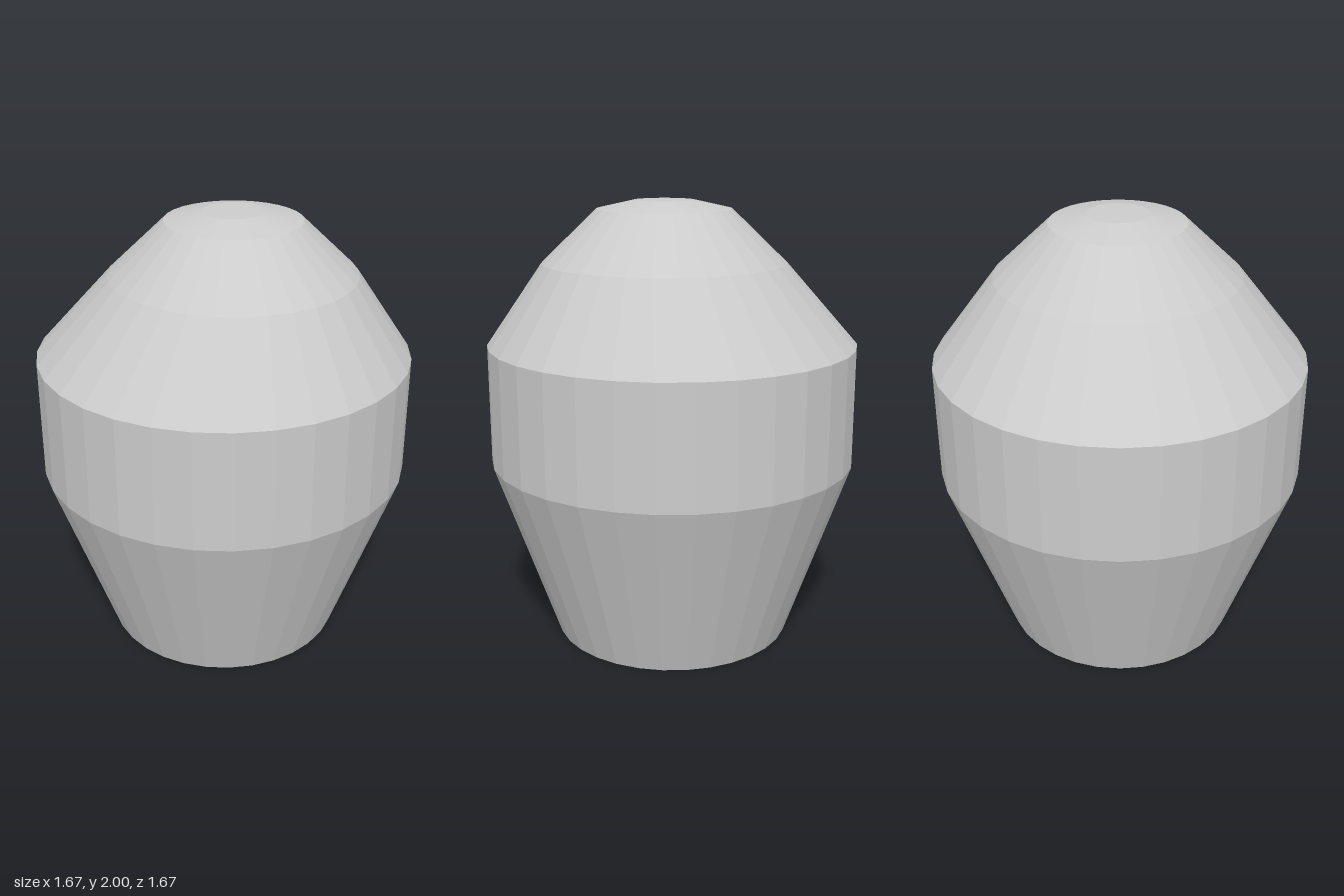
import * as THREE from 'three';

const SIDES = 32;

// Faceted turned part from [radius, height] points, bottom to top
function turned(name, profile) {
  const points = profile.map(([r, y]) => new THREE.Vector2(r, y));
  const material = new THREE.MeshStandardMaterial({ color: 0xcccccc, flatShading: true });
  const mesh = new THREE.Mesh(new THREE.LatheGeometry(points, SIDES), material);
  mesh.name = name;
  return mesh;
}

export function createModel() {
  const model = new THREE.Group();
  model.name = 'jar';

  // Tapered body with a flat base and a straight upper band
  const body = turned('body', [[0, 0], [0.545, 0], [0.833, 0.833], [0.833, 1.367]]);

  // Domed lid whose upper rings lean slightly to +x
  const rim = 1.367;
  const lean = 0.045;
  const lid = turned('lid', [[0.833, rim], [0.545, 1.73], [0.3, 1.963], [0.135, 2], [0, 2]]);
  const position = lid.geometry.attributes.position;
  for (let i = 0; i < position.count; i++) {
    if (position.getY(i) > rim + 0.01) position.setX(i, position.getX(i) + lean);
  }
  lid.geometry.computeVertexNormals();

  model.add(body, lid);
  return model;
}
